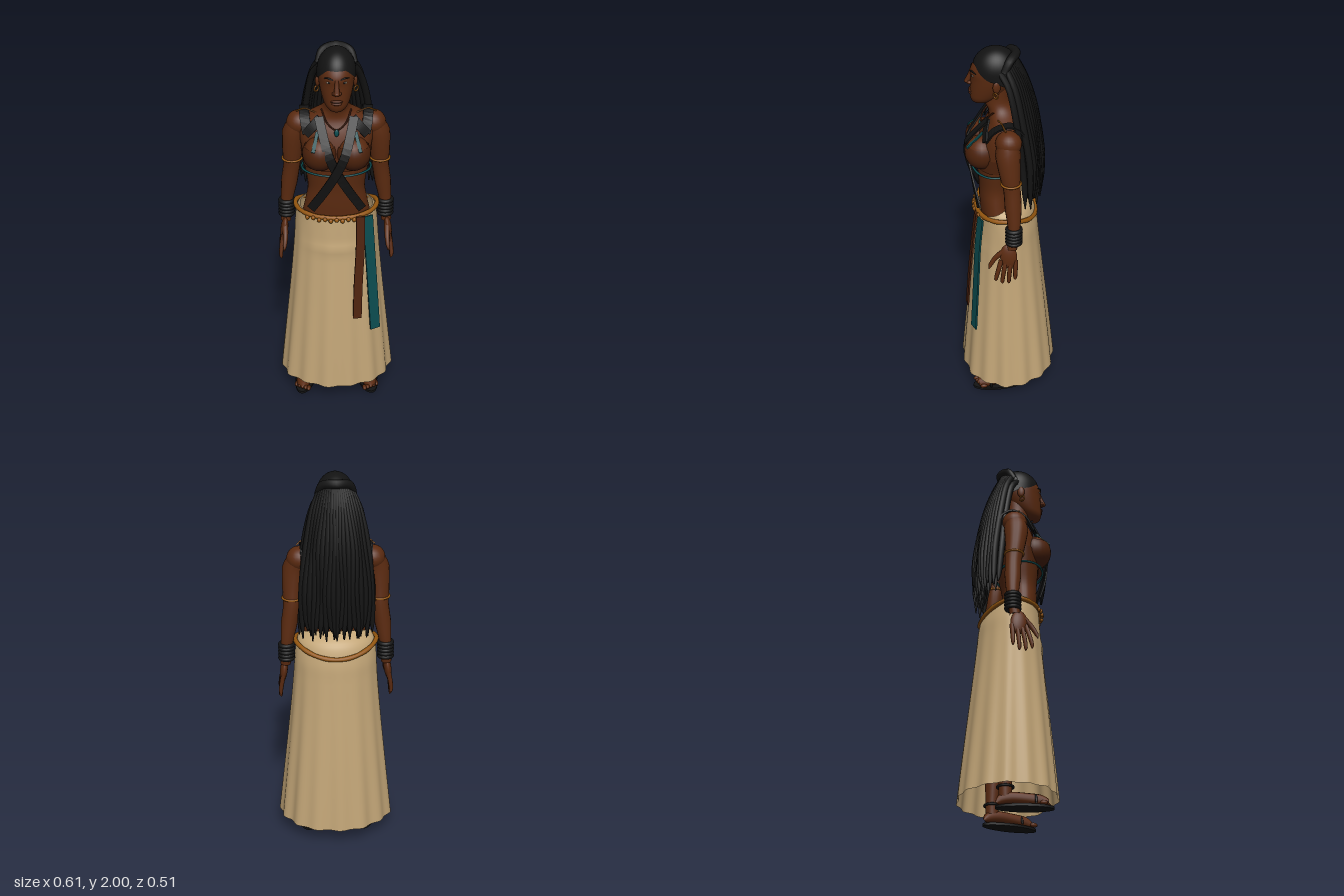
import * as THREE from 'three';

const mat = (name, color, side = THREE.FrontSide) => {
  const m = new THREE.MeshStandardMaterial({ color, side });
  m.name = name;
  return m;
};
const V = (p) => new THREE.Vector3(p[0], p[1], p[2]);
const mix = (a, b, t) => a + (b - a) * t;

// Closed surface from f(angle, t): angle 0 is the front, t runs bottom to top
function surf(nu, nv, f) {
  const pos = [], idx = [];
  for (let j = 0; j <= nv; j++)
    for (let i = 0; i < nu; i++) pos.push(...f((i / nu) * Math.PI * 2, j / nv));
  for (let j = 0; j < nv; j++)
    for (let i = 0; i < nu; i++) {
      const k = (i + 1) % nu, a = j * nu + i, b = j * nu + k, c = a + nu, d = b + nu;
      idx.push(a, b, d, a, d, c);
    }
  const g = new THREE.BufferGeometry();
  g.setAttribute('position', new THREE.Float32BufferAttribute(pos, 3));
  g.setIndex(idx);
  g.computeVertexNormals();
  return g;
}

// Smooth interpolation through rows of numbers
function rowAt(rows, t) {
  const s = Math.min(t * (rows.length - 1), rows.length - 1.0001), i = Math.floor(s), u = s - i;
  const R = (k) => rows[Math.max(0, Math.min(rows.length - 1, k))];
  return rows[0].map((_, c) => {
    const [a, b, d, e] = [R(i - 1)[c], R(i)[c], R(i + 1)[c], R(i + 2)[c]];
    return b + 0.5 * u * (d - a + u * (2 * a - 5 * b + 4 * d - e + u * (3 * (b - d) + e - a)));
  });
}

// Rows: [y, half width, front z, back z, optional y at the back]
function loft(rows, nu, nv, tweak = () => [1, 0]) {
  return surf(nu, nv, (a, t) => {
    const [y, rx, zf, zb, yb = y] = rowAt(rows, t);
    const yy = mix(y, yb, (1 - Math.cos(a)) / 2), [k, dz] = tweak(a, t, yy);
    return [rx * k * Math.sin(a), yy, (zf + zb) / 2 + ((zf - zb) / 2) * k * Math.cos(a) + dz];
  });
}

// Tapered tube through points [x, y, z, radius]
function limb(pts, n = 20, seg = 10, closed = false) {
  const curve = new THREE.CatmullRomCurve3(pts.map(V), closed);
  const g = new THREE.TubeGeometry(curve, n, 1, seg, closed);
  const p = g.attributes.position, v = new THREE.Vector3();
  for (let i = 0; i <= n; i++) {
    const c = curve.getPointAt(i / n), s = curve.getUtoTmapping(i / n) * (closed ? pts.length : pts.length - 1);
    const k = Math.min(Math.floor(s), pts.length - 1);
    const r = mix(pts[k][3], pts[closed ? (k + 1) % pts.length : Math.min(k + 1, pts.length - 1)][3], s - k);
    for (let j = 0; j <= seg; j++) {
      const q = i * (seg + 1) + j;
      v.fromBufferAttribute(p, q).sub(c).multiplyScalar(r).add(c);
      p.setXYZ(q, v.x, v.y, v.z);
    }
  }
  return g;
}

// Flat band through points [x, y, z, normal x, y, z]
function strap(pts, w, thick = 0.009) {
  const c = new THREE.CatmullRomCurve3(pts.map(V)), n = 16, pos = [], idx = [];
  for (let i = 0; i <= n; i++) {
    const t = i / n, p = c.getPoint(t), s = Math.min(t * (pts.length - 1), pts.length - 1.001), k = Math.floor(s);
    const N = V(pts[k].slice(3)).lerp(V(pts[k + 1].slice(3)), s - k).normalize();
    const S = c.getTangent(t).cross(N).normalize();
    N.crossVectors(S, c.getTangent(t)).normalize();
    for (const [a, b] of [[-1, -1], [1, -1], [1, 1], [-1, 1]])
      pos.push(...p.clone().addScaledVector(S, (a * w) / 2).addScaledVector(N, (b * thick) / 2).toArray());
    if (i < n) for (let j = 0; j < 4; j++) {
      const a = i * 4 + j, b = i * 4 + ((j + 1) % 4);
      idx.push(a, b, b + 4, a, b + 4, a + 4);
    }
  }
  idx.push(0, 2, 1, 0, 3, 2, n * 4, n * 4 + 1, n * 4 + 2, n * 4, n * 4 + 2, n * 4 + 3);
  const g = new THREE.BufferGeometry();
  g.setAttribute('position', new THREE.Float32BufferAttribute(pos, 3));
  g.setIndex(idx);
  const flat = g.toNonIndexed();
  flat.computeVertexNormals();
  return flat;
}

export function createModel() {
  const model = new THREE.Group();
  model.name = 'figure';
  const D = THREE.DoubleSide;
  const skin = mat('skin', 0x5a2a10), black = mat('black', 0x131313, D), cream = mat('cream', 0xc2a577, D);
  const gold = mat('gold', 0x94560f), teal = mat('teal', 0x0b4c50, D), brown = mat('sash brown', 0x4e230e, D);
  const bra = mat('bodice brown', 0x4c220c, D), white = mat('eye white', 0x9a8a78);
  const add = (name, g, m, p = [0, 0, 0], s = [1, 1, 1], r = [0, 0, 0]) => {
    const o = new THREE.Mesh(g, m);
    o.name = name;
    o.position.set(...p); o.scale.set(...s); o.rotation.set(...r);
    model.add(o);
    return o;
  };
  const ball = new THREE.SphereGeometry(1, 20, 14);

  // Torso, neck and head
  add('torso', loft([[1.03, 0.18, 0.14, -0.08], [1.1, 0.172, 0.146, -0.04], [1.17, 0.158, 0.15, -0.025], [1.25, 0.146, 0.152, -0.025],
    [1.35, 0.16, 0.16, -0.045], [1.45, 0.175, 0.16, -0.065], [1.55, 0.188, 0.132, -0.075], [1.62, 0.155, 0.1, -0.07],
    [1.665, 0.085, 0.1, -0.045], [1.71, 0.06, 0.118, -0.01], [1.79, 0.058, 0.12, -0.01]], 36, 44), skin);
  add('head', loft([[1.703, 0.002, 0.15, 0.13], [1.707, 0.035, 0.176, 0.09], [1.73, 0.057, 0.187, 0.055], [1.76, 0.07, 0.188, 0.02],
    [1.8, 0.081, 0.186, -0.01], [1.84, 0.088, 0.184, -0.03], [1.88, 0.09, 0.186, -0.04], [1.92, 0.086, 0.167, -0.04],
    [1.96, 0.066, 0.13, -0.02], [1.98, 0.01, 0.07, 0.05]], 36, 36), skin);
  add('noseBridge', limb([[0, 1.88, 0.178, 0.01], [0, 1.85, 0.187, 0.011], [0, 1.818, 0.2, 0.014]], 8), skin);
  add('noseTip', ball, skin, [0, 1.815, 0.199], [0.015, 0.012, 0.017]);
  add('upperLip', ball, brown, [0, 1.768, 0.186], [0.03, 0.007, 0.01]);
  add('lowerLip', ball, brown, [0, 1.755, 0.185], [0.026, 0.008, 0.01]);

  // Hair cap with a dipping hairline
  add('hairCap', surf(40, 16, (a, t) => {
    const c = Math.cos(a), low = c > 0 ? mix(1.85, 1.92, Math.min(1, c * c * 1.3)) : mix(1.85, 1.78, -c);
    const y = mix(low, 2, Math.sin(t * Math.PI / 2)), s = y > 1.88 ? Math.sqrt(Math.max(0, 1 - ((y - 1.88) / 0.12) ** 2)) : 1;
    return [0.097 * s * Math.sin(a), y, 0.06 + 0.118 * s * c];
  }), black);
  add('crownBraid', limb([[-0.09, 1.9, 0.02, 0.018], [-0.066, 1.955, -0.01, 0.022], [0, 1.968, -0.038, 0.024],
    [0.066, 1.955, -0.01, 0.022], [0.09, 1.9, 0.02, 0.018]], 24), black);

  // Two layers of long locks down the back
  for (let layer = 0; layer < 2; layer++)
    for (let i = 0; i < 19; i++) {
      const u = (i - 9) / 9, b = 1 - u * u, d = layer * 0.028, wob = Math.sin(i * 7.3 + layer * 2) * 0.006;
      add('lock', limb([[u * 0.078, 1.925 + 0.03 * b - d, 0.01 - 0.035 * b + d, 0.016], [u * 0.115, 1.84, -0.03 - 0.05 * b + d, 0.018],
        [u * 0.155 + wob, 1.66, -0.07 - 0.065 * b + d, 0.018], [u * 0.175 - wob, 1.42, -0.105 - 0.062 * b + d + wob, 0.018],
        [u * 0.18 + wob, 1.27, -0.112 - 0.06 * b + d, 0.015], [u * 0.18 + wob * 2, 1.2 + Math.sin(i * 4.1 + layer) * 0.03, -0.115 - 0.055 * b + d, 0.003]], 22, 7), black);
    }

  // Long skirt with folds that deepen toward the hem
  add('skirt', loft([[0.09, 0.3, 0.25, -0.25], [0.25, 0.284, 0.237, -0.234], [0.42, 0.267, 0.222, -0.216], [0.6, 0.249, 0.205, -0.196],
    [0.78, 0.232, 0.188, -0.176], [0.93, 0.22, 0.174, -0.16], [1.03, 0.214, 0.166, -0.148], [1.075, 0.205, 0.162, -0.115],
    [1.1, 0.186, 0.158, -0.037]].map((r, i) => [...r, r[0] + [0, 0, 0, 0, 0, 0, 0, 0.05, 0.075][i]]), 112, 44, (a, t, y) => {
    const f = Math.max(0, 1 - t * 1.25);
    const crease = 0.007 * Math.exp(-(((y - 0.915) / 0.025) ** 2)) * Math.max(0, Math.cos(a)) ** 3;
    return [1 + f * (0.025 * Math.cos(15 * a + 2.6) + 0.012 * Math.cos(7 * a + 1)), crease];
  }), cream);
  const hip = [];
  for (let i = 0; i < 24; i++) {
    const a = (i / 24) * Math.PI * 2, c = Math.cos(a);
    hip.push([0.212 * Math.sin(a), c > 0 ? 1.115 - 0.012 * c : 1.115 - 0.055 * c * c, 0.012 + 0.155 * c, 0.011 + 0.002 * (i % 2)]);
  }
  add('ropeBelt', limb(hip, 96, 8, true), gold);
  for (let i = -5; i <= 5; i++)
    add('beltBead', ball, gold, [i * 0.03, 1.098 - 0.006 * (i & 1), 0.012 + 0.168 * Math.sqrt(1 - (i * 0.03 / 0.22) ** 2)], [0.011, 0.012, 0.009]);

  // Hanging sashes
  add('brownSash', strap([[0.122, 1.11, 0.165, 0.2, 0, 1], [0.122, 0.95, 0.183, 0.2, 0, 1], [0.112, 0.72, 0.204, 0.2, 0, 1],
    [0.108, 0.52, 0.218, 0.2, 0, 1]], 0.046), brown);
  add('tealSash', strap([[0.16, 1.1, 0.14, 0.5, 0, 1], [0.17, 0.95, 0.155, 0.5, 0, 1], [0.187, 0.7, 0.168, 0.5, 0, 1],
    [0.205, 0.43, 0.182, 0.5, 0, 1]], 0.056), teal);

  // Bodice band, cord under it and pendant
  add('bodiceBand', loft([[1.37, 0.168, 0.168, -0.053], [1.41, 0.174, 0.167, -0.062], [1.45, 0.179, 0.165, -0.07]], 36, 6), bra);
  const cord = [];
  for (let i = 0; i < 16; i++) {
    const a = (i / 16) * Math.PI * 2;
    cord.push([0.176 * Math.sin(a), 1.355, 0.064 + 0.122 * Math.cos(a), 0.006]);
  }
  add('tealCord', limb(cord, 48, 6, true), teal);
  add('necklace', limb([[-0.075, 1.675, 0.07, 0.004], [-0.045, 1.62, 0.122, 0.004], [0, 1.59, 0.138, 0.004],
    [0.045, 1.62, 0.122, 0.004], [0.075, 1.675, 0.07, 0.004]], 24, 6), brown);
  add('pendant', ball, teal, [0, 1.575, 0.14], [0.012, 0.02, 0.008]);

  for (const s of [-1, 1]) {
    const M = (pts) => pts.map(([x, ...r]) => [x * s, ...r]);
    const N = (pts) => pts.map(([x, y, z, nx, ny, nz]) => [x * s, y, z, nx * s, ny, nz]);

    // Face details
    add('eye', ball, white, [s * 0.037, 1.863, 0.171], [0.014, 0.006, 0.006]);
    add('iris', ball, black, [s * 0.037, 1.863, 0.175], [0.006, 0.006, 0.004]);
    add('brow', limb(M([[0.018, 1.88, 0.184, 0.003], [0.04, 1.887, 0.176, 0.005], [0.062, 1.879, 0.154, 0.002]]), 8, 6), black);
    add('nostril', ball, skin, [s * 0.014, 1.812, 0.19], [0.01, 0.009, 0.012]);
    add('ear', ball, skin, [s * 0.092, 1.825, 0.055], [0.011, 0.032, 0.02], [0, s * 0.3, 0]);
    add('earring', new THREE.TorusGeometry(0.014, 0.004, 8, 16), gold, [s * 0.098, 1.782, 0.06], [1, 1, 1], [0, 0.8, 0]);

    // Bust and bodice cups
    add('bust', ball, skin, [s * 0.085, 1.46, 0.13], [0.083, 0.088, 0.083]);
    add('bodiceCup', new THREE.SphereGeometry(1, 24, 14, 0, Math.PI * 2, 1.05, 1.75), bra, [s * 0.085, 1.46, 0.13], [0.087, 0.091, 0.088]);

    // Crossed straps with angled collar pieces
    add('shoulderStrap', strap(N([[0.15, 1.53, -0.085, 0, 0, -1], [0.155, 1.61, -0.075, 0, 0.6, -1], [0.16, 1.65, -0.015, 0, 1, 0],
      [0.158, 1.625, 0.06, 0.1, 0.8, 0.7], [0.145, 1.56, 0.112, 0.3, 0.2, 1]]), 0.05), black);
    add('collarStrap', strap(N([[0.155, 1.555, 0.112, 0.3, 0.3, 1], [0.12, 1.595, 0.112, 0.2, 0.5, 1], [0.08, 1.64, 0.1, 0, 0.7, 1]]), 0.046), black);
    const o = s * 0.004;
    add('crossStrap', strap(N([[0.088, 1.645, 0.1, 0, 0.5, 1], [0.065, 1.56, 0.165 + o, 0, 0.4, 1], [0.04, 1.48, 0.212 + o, 0, 0.1, 1],
      [0, 1.385, 0.208 + o, 0, 0, 1], [-0.06, 1.27, 0.183 + o, -0.15, 0, 1], [-0.13, 1.15, 0.148, -0.4, 0, 1]]), 0.046), black);
    add('chestRibbon', strap(N([[0.095, 1.575, 0.125, 0.2, 0.4, 1], [0.108, 1.53, 0.172, 0.2, 0.5, 1], [0.118, 1.5, 0.205, 0.2, 0.5, 1]]), 0.018, 0.006), teal);
    add('shoulderCord', limb(M([[0.1, 1.645, 0.05, 0.004], [0.16, 1.66, 0.03, 0.004], [0.2, 1.635, 0.01, 0.004]]), 8, 6), gold);

    // Arm, armband and ribbed cuff
    add('shoulder', ball, skin, [s * 0.188, 1.568, -0.003], [0.064, 0.064, 0.066]);
    add('arm', limb(M([[0.18, 1.59, -0.003, 0.045], [0.208, 1.52, 0, 0.065], [0.222, 1.42, -0.008, 0.053], [0.228, 1.32, -0.02, 0.043],
      [0.242, 1.22, -0.026, 0.043], [0.257, 1.1, -0.03, 0.03], [0.264, 0.99, -0.02, 0.027]]), 30, 16), skin);
    add('armband', new THREE.TorusGeometry(0.049, 0.006, 8, 24), gold, [s * 0.226, 1.36, -0.015], [1, 1, 1], [Math.PI / 2, 0, 0]);
    for (let i = 0; i < 5; i++)
      add('cuffRing', new THREE.TorusGeometry(0.034, 0.011, 8, 20), black, [s * 0.258, 1.028 + i * 0.019, -0.03], [1, 1, 1], [Math.PI / 2, 0, 0]);

    // Hand with spread fingers
    add('palm', ball, skin, [s * 0.273, 0.945, -0.003], [0.02, 0.07, 0.044], [0.1, 0, s * 0.12]);
    for (let i = 0; i < 4; i++) {
      const z = 0.033 - 0.024 * i, e = 0.062 - 0.033 * i, y = [0.8, 0.785, 0.785, 0.81][i];
      add('finger', limb(M([[0.276, 0.93, z, 0.013], [0.288, 0.865, mix(z, e, 0.6), 0.012], [0.291, y + 0.015, e, 0.01], [0.287, y, e, 0.002]]), 10, 8), skin);
    }
    add('thumb', limb(M([[0.268, 0.98, 0.015, 0.016], [0.266, 0.935, 0.062, 0.014], [0.27, 0.89, 0.09, 0.011], [0.272, 0.865, 0.098, 0.002]]), 10, 8), skin);

    // Leg, foot and sandal
    add('leg', limb(M([[0.1, 1.02, 0.02, 0.085], [0.115, 0.75, 0.02, 0.078], [0.13, 0.5, 0, 0.055], [0.142, 0.34, -0.03, 0.055],
      [0.152, 0.14, -0.045, 0.034], [0.153, 0.04, -0.045, 0.034]]), 30, 14), skin);
    const turn = [0, s * 0.17, 0], at = [s * 0.16, 0.012, 0];
    add('foot', limb([[0, 0.02, -0.09, 0.006], [0, 0.032, -0.07, 0.032], [0, 0.042, -0.02, 0.04], [0, 0.038, 0.06, 0.039],
      [0, 0.028, 0.12, 0.042], [0, 0.018, 0.155, 0.03], [0, 0.012, 0.165, 0.004]], 24, 14), skin, at, [1, 0.88, 1], turn);
    for (let i = 0; i < 5; i++) {
      const k = (i - 2) * s, a = turn[1], x = k * 0.018, z = 0.168 - i * 0.007;
      add('toe', ball, skin, [at[0] + x * Math.cos(a) + z * Math.sin(a), 0.024, z * Math.cos(a) - x * Math.sin(a)], [0.011, 0.012, 0.02], turn);
    }
    add('sole', new THREE.CylinderGeometry(1, 1, 0.013, 28), black, [s * 0.169, 0.0065, 0.048], [0.054, 1, 0.145], turn);
    add('sandalStrap', new THREE.TorusGeometry(0.045, 0.006, 8, 20, Math.PI), black, [s * 0.178, 0.02, 0.1], [1, 1.1, 1], turn);
    add('ankleStrap', new THREE.TorusGeometry(0.039, 0.007, 8, 20), black, [s * 0.152, 0.11, -0.045], [1, 1, 1], [Math.PI / 2, 0, 0]);
  }
  return model;
}
